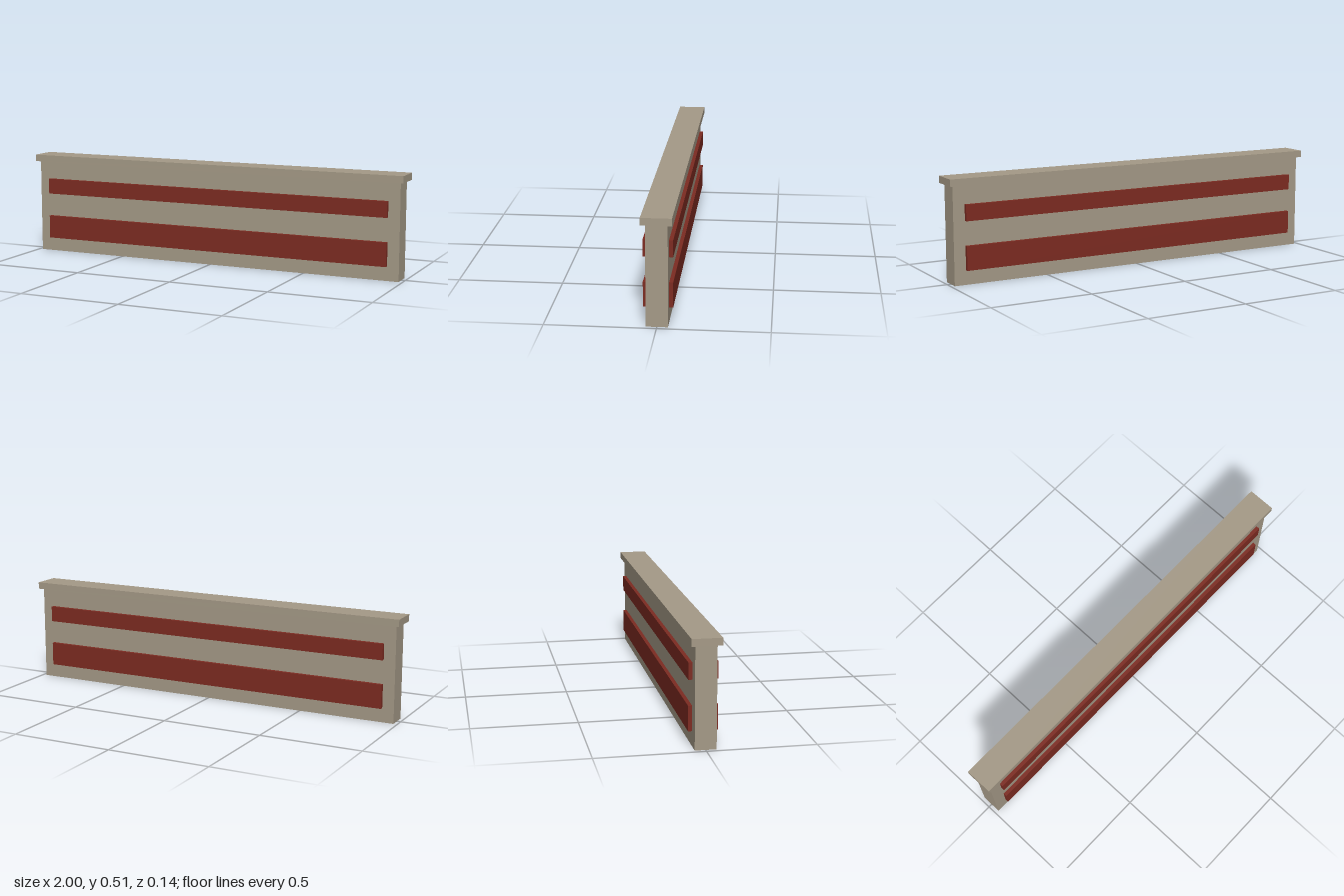
import * as THREE from 'three';

const stone = new THREE.MeshStandardMaterial({ color: 0xa59a87, side: THREE.DoubleSide });
const redPanel = new THREE.MeshStandardMaterial({ color: 0x7d2b21 });
stone.name = 'stone';
redPanel.name = 'redPanel';

export function createModel() {
  const group = new THREE.Group();

  function box(name, material, w, d, y0, y1, z = 0) {
    const mesh = new THREE.Mesh(new THREE.BoxGeometry(w, y1 - y0, d), material);
    mesh.position.set(0, (y0 + y1) / 2, z);
    mesh.name = name;
    group.add(mesh);
    return mesh;
  }

  // Hollow wall, open underneath: leave out the downward face (box side 3)
  const wall = box('wall', stone, 1.963, 0.098, 0, 0.473).geometry;
  wall.setIndex(Array.from(wall.index.array).filter((_, i) => i < 18 || i >= 24));
  wall.clearGroups();

  // Overhanging coping along the top
  box('coping', stone, 2, 0.138, 0.473, 0.507);

  // Raised red bands on both faces
  for (const [face, side] of [['front', 1], ['back', -1]]) {
    box(face + 'UpperBand', redPanel, 1.847, 0.018, 0.305, 0.383, side * 0.058);
    box(face + 'LowerBand', redPanel, 1.847, 0.018, 0.07, 0.187, side * 0.058);
  }
  return group;
}
